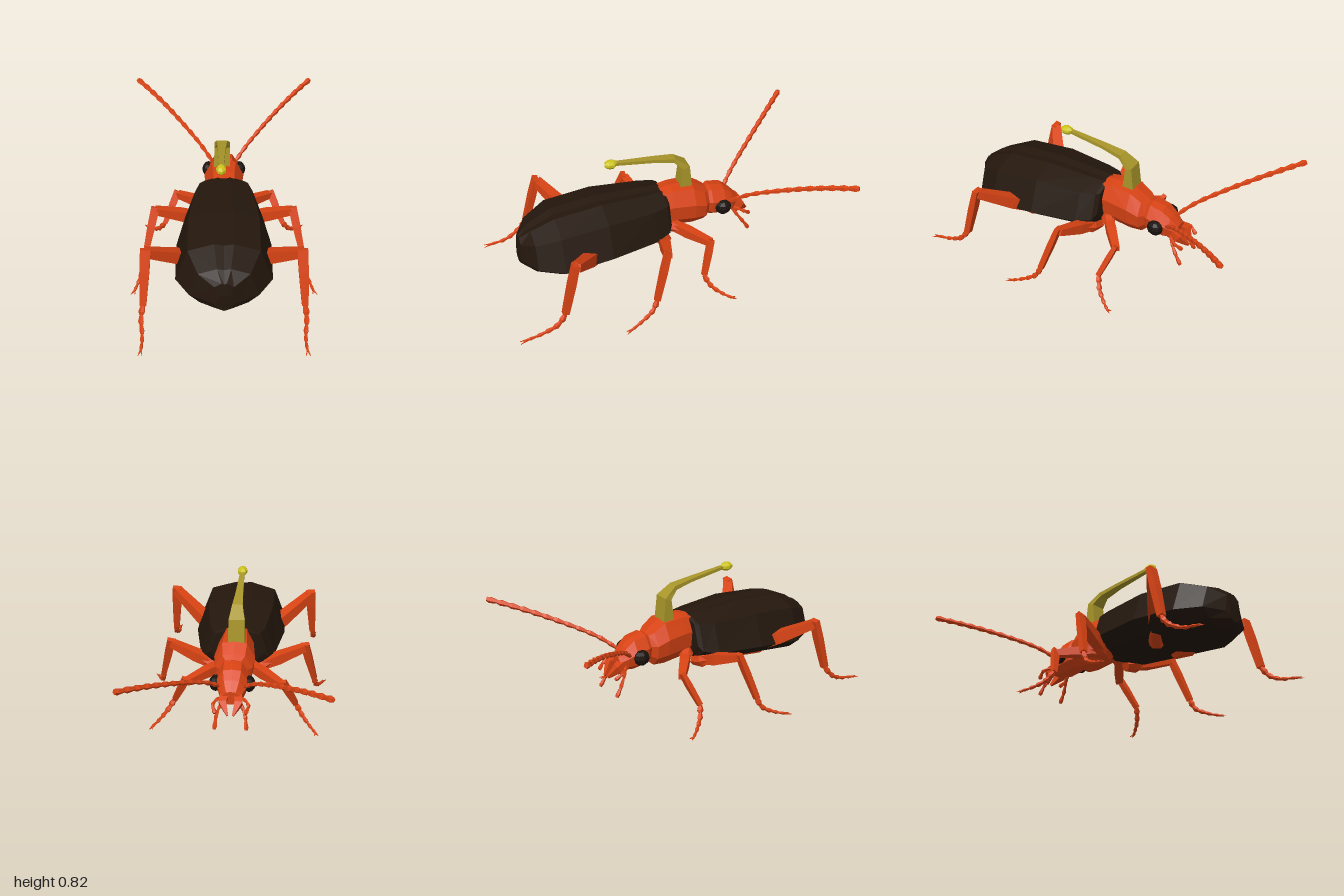
import * as THREE from 'three';

const V = (x, y, z) => new THREE.Vector3(x, y, z);
const mat = (color) => new THREE.MeshStandardMaterial({ color, flatShading: true, roughness: 0.8 });
const ORANGE = mat(0xd84314), SHELL = mat(0x24170d), BLACK = mat(0x1b120d), OLIVE = mat(0xa8962a), YELLOW = mat(0xcdc41c);

// Closed skin over a row of equal-sized rings, always turned outwards
function loft(rings) {
  const tris = [];
  const n = rings[0].length;
  for (let i = 0; i + 1 < rings.length; i++) {
    for (let j = 0; j < n; j++) {
      const k = (j + 1) % n;
      const [a, b, c, d] = [rings[i][j], rings[i][k], rings[i + 1][k], rings[i + 1][j]];
      tris.push([a, b, c], [a, c, d]);
    }
  }
  const cap = (ring, flip) => {
    const m = ring.reduce((s, p) => s.add(p), V(0, 0, 0)).divideScalar(n);
    for (let j = 0; j < n; j++) {
      const k = (j + 1) % n;
      tris.push(flip ? [m, ring[k], ring[j]] : [m, ring[j], ring[k]]);
    }
  };
  cap(rings[0], true);
  cap(rings[rings.length - 1], false);
  const volume = tris.reduce((s, [a, b, c]) => s + a.dot(b.clone().cross(c)), 0);
  if (volume < 0) tris.forEach((t) => t.reverse());
  const geo = new THREE.BufferGeometry().setFromPoints(tris.flat());
  geo.computeVertexNormals();
  return geo;
}

function add(parent, name, geo, material) {
  const mesh = new THREE.Mesh(geo, material);
  mesh.name = name;
  parent.add(mesh);
  return mesh;
}

// Bar along points; sizes are [width along ref, thickness] half sizes
function bar(points, sizes, ref = V(1, 0, 0), sides = 4) {
  return loft(points.map((p, i) => {
    const t = points[Math.min(i + 1, points.length - 1)].clone().sub(points[Math.max(i - 1, 0)]).normalize();
    const b = ref.clone().addScaledVector(t, -ref.dot(t)).normalize();
    const c = t.clone().cross(b);
    return Array.from({ length: sides }, (_, j) => {
      const a = ((j + 0.5) / sides) * Math.PI * 2;
      const f = 1 / Math.cos(Math.PI / sides);
      return p.clone().addScaledVector(b, Math.cos(a) * sizes[i][0] * f).addScaledVector(c, Math.sin(a) * sizes[i][1] * f);
    });
  }));
}

// Body from [z, half width, top, bottom] stations and a right-half profile
function body(stations, profile) {
  const full = [...profile, ...profile.slice().reverse().filter(([x]) => x > 0).map(([x, y]) => [-x, y])];
  return loft(stations.map(([z, w, top, bot]) => full.map(([x, y]) => V(x * w, bot + y * (top - bot), z))));
}

// Row of small tapered joints along a curve
function beads(parent, name, points, count, r0, r1) {
  const curve = new THREE.CatmullRomCurve3(points);
  for (let i = 0; i < count; i++) {
    const r = r0 + (r1 - r0) * (i / (count - 1));
    const at = [0, 0.7, 1].map((u) => curve.getPointAt((i + u) / count));
    add(parent, name, bar(at, [[r * 0.6, r * 0.6], [r, r], [r * 0.7, r * 0.7]], V(0.3, 1, 0.1), 5), ORANGE);
  }
}

const LEGS = {
  front: {
    hip: [0.07, 0.35, -0.03], knee: [0.28, 0.315, -0.21], ankle: [0.36, 0.15, -0.14],
    foot: [[0.40, 0.09, -0.17], [0.45, 0.05, -0.23], [0.48, 0.035, -0.27]], tip: [0.485, 0.03, -0.295], thick: 0.028,
  },
  middle: {
    hip: [0.12, 0.30, 0.03], knee: [0.40, 0.40, 0.10], ankle: [0.465, 0.14, 0.19],
    foot: [[0.475, 0.08, 0.22], [0.50, 0.035, 0.30], [0.52, 0.015, 0.36]], tip: [0.53, 0.008, 0.395], thick: 0.031,
  },
  hind: {
    hip: [0.12, 0.285, 0.42], knee: [0.425, 0.485, 0.645], ankle: [0.445, 0.19, 0.725],
    foot: [[0.455, 0.13, 0.77], [0.445, 0.08, 0.86], [0.448, 0.063, 0.95]], tip: [0.452, 0.055, 0.995], thick: 0.036,
  },
};

function leg(kind, s) {
  const { hip, knee, ankle, foot, tip, thick: t } = LEGS[kind];
  const P = ([x, y, z]) => V(x * s, y, z);
  const g = new THREE.Group();
  g.name = `${kind}Leg${s > 0 ? 'Left' : 'Right'}`;
  const h = P(hip), k = P(knee), a = P(ankle);
  add(g, 'hipJoint', bar([h.clone().lerp(k, -0.15), h.clone().lerp(k, 0.1), h.clone().lerp(k, 0.3)],
    [[t * 0.8, t], [t * 1.3, t * 1.3], [t * 0.7, t * 0.8]], V(0, 1, 0), 6), ORANGE);
  add(g, 'thigh', bar([h, h.clone().lerp(k, 0.45), k], [[t * 0.8, t * 0.9], [t, t], [t * 0.65, t * 0.75]], V(0, 1, 0)), ORANGE);
  const top = k.clone().add(V(0, 0.022, 0));
  add(g, 'shin', bar([top, top.clone().lerp(a, 0.4), a], [[t * 0.8, t * 0.45], [t * 0.75, t * 0.55], [t * 0.5, t * 0.5]]), ORANGE);
  beads(g, 'footJoint', [a, ...foot.map(P)], 5, 0.016, 0.008);
  for (const d of [-0.012, 0.012]) {
    const end = P(tip).add(V(d, 0, 0));
    add(g, 'claw', bar([P(foot[2]), end], [[0.005, 0.005], [0.001, 0.001]], V(0, 1, 0)), ORANGE);
  }
  return g;
}

export function createModel() {
  const model = new THREE.Group();
  model.name = 'beetle';

  // Wing case with a shallow seam along the back
  add(model, 'abdomen', body([
    [-0.01, 0.16, 0.562, 0.34], [0.01, 0.19, 0.568, 0.295], [0.1, 0.225, 0.57, 0.265],
    [0.38, 0.27, 0.577, 0.245], [0.66, 0.268, 0.55, 0.212], [0.8, 0.19, 0.487, 0.24], [0.865, 0.07, 0.44, 0.258], [0.875, 0.045, 0.37, 0.268],
  ], [[0, 0.975], [0.2, 1], [0.74, 0.87], [1, 0.31], [0.7, 0.11], [0, 0]]), SHELL);

  // Thorax and head
  add(model, 'thorax', body([
    [0.01, 0.1, 0.57, 0.33], [-0.05, 0.105, 0.58, 0.32], [-0.18, 0.118, 0.575, 0.31],
    [-0.25, 0.108, 0.53, 0.315], [-0.28, 0.075, 0.51, 0.34],
  ], [[0, 1], [0.6, 0.96], [1, 0.62], [0.9, 0.25], [0.45, 0], [0, 0]]), ORANGE);
  add(model, 'head', body([
    [-0.26, 0.07, 0.5, 0.345], [-0.3, 0.09, 0.52, 0.33], [-0.38, 0.092, 0.505, 0.32],
    [-0.43, 0.078, 0.465, 0.325], [-0.475, 0.05, 0.415, 0.335],
  ], [[0, 1], [0.55, 0.96], [1, 0.6], [0.85, 0.2], [0.4, 0], [0, 0]]), ORANGE);

  for (const s of [1, -1]) {
    const side = s > 0 ? 'Left' : 'Right';
    const P = (x, y, z) => V(x * s, y, z);

    const eye = add(model, 'eye' + side, new THREE.SphereGeometry(1, 8, 6), BLACK);
    eye.scale.set(0.038, 0.046, 0.05);
    eye.position.set(0.095 * s, 0.405, -0.36);

    add(model, 'jaw' + side, bar([P(0.035, 0.37, -0.44), P(0.045, 0.355, -0.49), P(0.015, 0.3, -0.54)],
      [[0.026, 0.03], [0.022, 0.024], [0.005, 0.008]]), ORANGE);

    // Mouth feelers, a lower and an upper pair
    const feelers = new THREE.Group();
    feelers.name = 'mouthFeelers' + side;
    beads(feelers, 'feelerJoint', [P(0.05, 0.335, -0.44), P(0.08, 0.27, -0.485), P(0.09, 0.2, -0.53)], 3, 0.009, 0.011);
    beads(feelers, 'feelerJoint', [P(0.06, 0.36, -0.44), P(0.1, 0.345, -0.49), P(0.085, 0.31, -0.535)], 3, 0.009, 0.011);
    model.add(feelers);

    const antenna = new THREE.Group();
    antenna.name = 'antenna' + side;
    beads(antenna, 'antennaJoint', [P(0.07, 0.42, -0.42), P(0.13, 0.48, -0.49), P(0.2, 0.53, -0.575),
      P(0.34, 0.61, -0.745), P(0.46, 0.665, -0.885), P(0.555, 0.7, -0.99)], 12, 0.012, 0.016);
    model.add(antenna);

    for (const kind of Object.keys(LEGS)) model.add(leg(kind, s));
  }

  // Lever on the back: post, bent arm and ball tip
  add(model, 'leverArm', bar([V(-0.01, 0.55, -0.145), V(-0.01, 0.7, -0.145), V(-0.01, 0.752, -0.08), V(-0.013, 0.772, 0.04), V(-0.015, 0.798, 0.27)],
    [[0.048, 0.037], [0.046, 0.021], [0.03, 0.013], [0.022, 0.01], [0.013, 0.009]]), OLIVE);
  const ball = add(model, 'leverBall', new THREE.SphereGeometry(1, 7, 5), YELLOW);
  ball.scale.set(0.031, 0.027, 0.042);
  ball.position.set(-0.015, 0.798, 0.297);

  return model;
}
